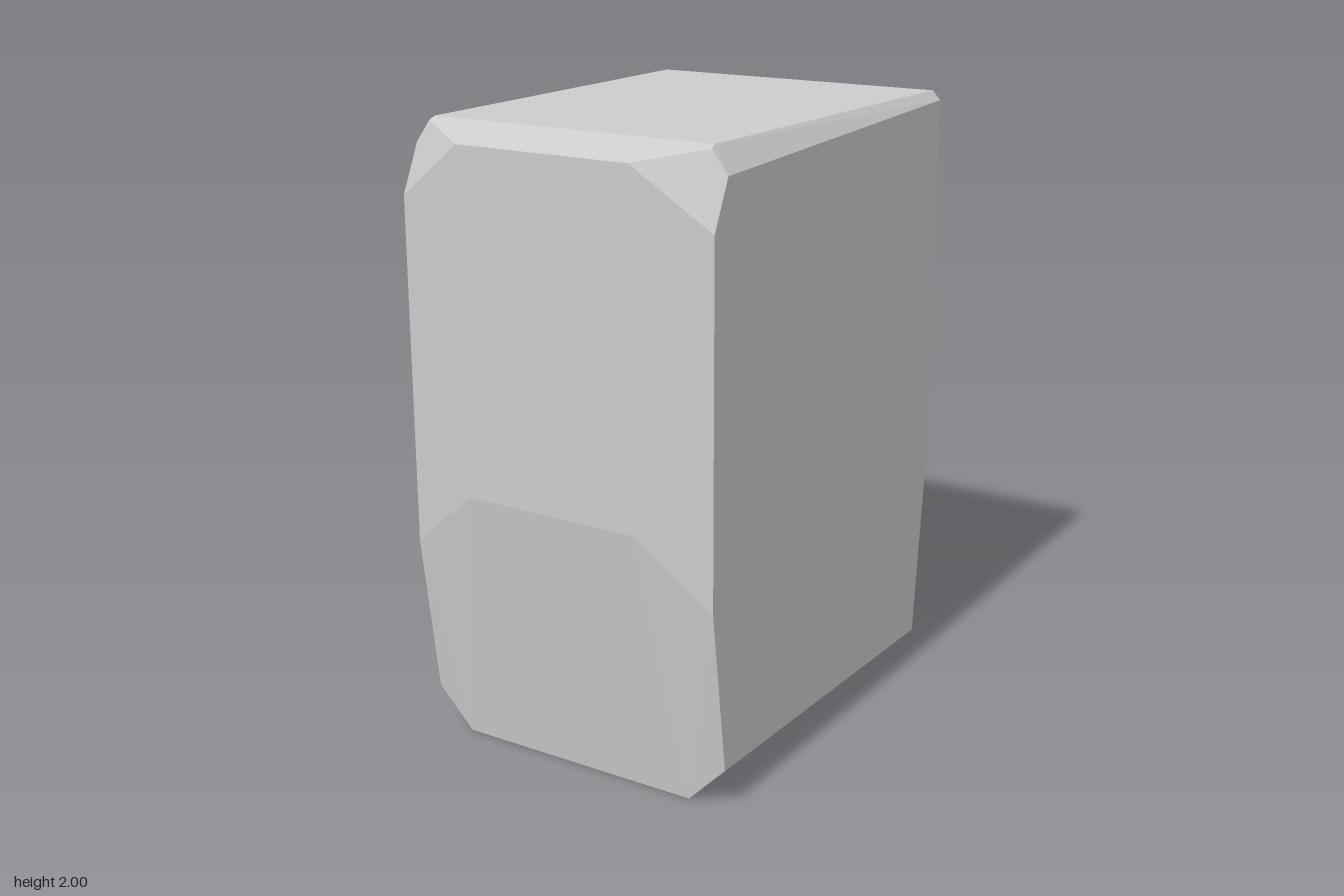
import * as THREE from 'three';
import { ConvexGeometry } from 'three/addons/geometries/ConvexGeometry.js';

export function createModel() {
  const stone = new THREE.MeshStandardMaterial({ color: 0xcccccc });
  stone.name = 'stoneGrey';

  // Corners of the chiselled block; each is mirrored across x = 0
  const W = 0.547;
  const corners = [
    // front face and its swept-back sides
    [0.3, 1.95, 0.79], [0.3, 0.87, 0.79],
    [W, 1.77, 0.74], [W, 0.66, 0.74],
    // top edge chamfers
    [0.49, 2, 0.65], [0.495, 1.99, 0.67], [W, 1.92, 0.67],
    [0.52, 2, -0.66], [W, 1.97, -0.66],
    // bottom edge chamfers
    [0.42, 0, 0.67], [W, 0.13, 0.67],
    [0.44, 0, -0.6], [W, 0.11, -0.6],
    // back face
    [0.34, 1.66, -0.79], [0.09, 0.32, -0.79],
  ];
  const points = corners.flatMap(([x, y, z]) =>
    [1, -1].map((s) => new THREE.Vector3(s * x, y, z)));

  // Back facets are cut at slightly different heights on each side
  for (const [s, outer, inner] of [[1, 0.72, 1.23], [-1, 0.61, 1.06]]) {
    points.push(new THREE.Vector3(s * W, outer, -0.66));
    points.push(new THREE.Vector3(s * 0.34, inner, -0.79));
  }

  const block = new THREE.Mesh(new ConvexGeometry(points), stone);
  block.name = 'stoneBlock';

  const group = new THREE.Group();
  group.name = 'chiselledStone';
  group.add(block);
  return group;
}
